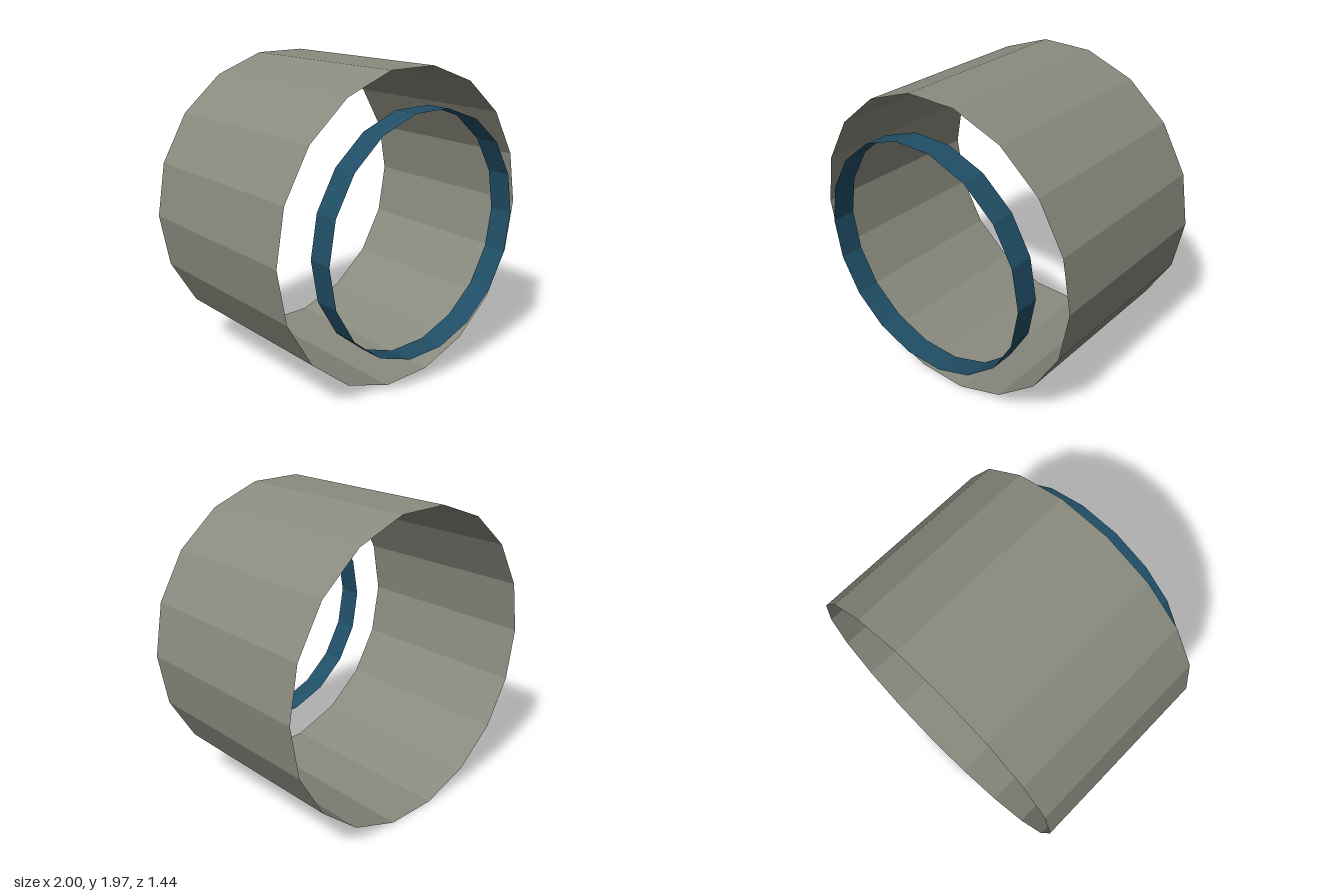
import * as THREE from 'three';

const SIDES = 18;
const CENTRE_Y = Math.cos(Math.PI / SIDES); // half height of the outer polygon

// Open, thin-walled 18-sided band along z, with corners on the x axis
function band(name, radius, zBack, zFront, color) {
  const geometry = new THREE.CylinderGeometry(
    radius, radius, zFront - zBack, SIDES, 1, true, Math.PI / 2);
  geometry.rotateX(Math.PI / 2);
  const material = new THREE.MeshStandardMaterial({
    color, flatShading: true, side: THREE.DoubleSide });
  const mesh = new THREE.Mesh(geometry, material);
  mesh.name = name;
  mesh.position.set(0, CENTRE_Y, (zBack + zFront) / 2);
  return mesh;
}

export function createModel() {
  const model = new THREE.Group();
  model.name = 'openTube';
  // Wide outer sleeve
  model.add(band('outerSleeve', 1, -0.72, 0.56, 0x8a8b7f));
  // Narrow ring in front of the sleeve
  model.add(band('frontRing', 0.768, 0.56, 0.72, 0x204e66));
  return model;
}
